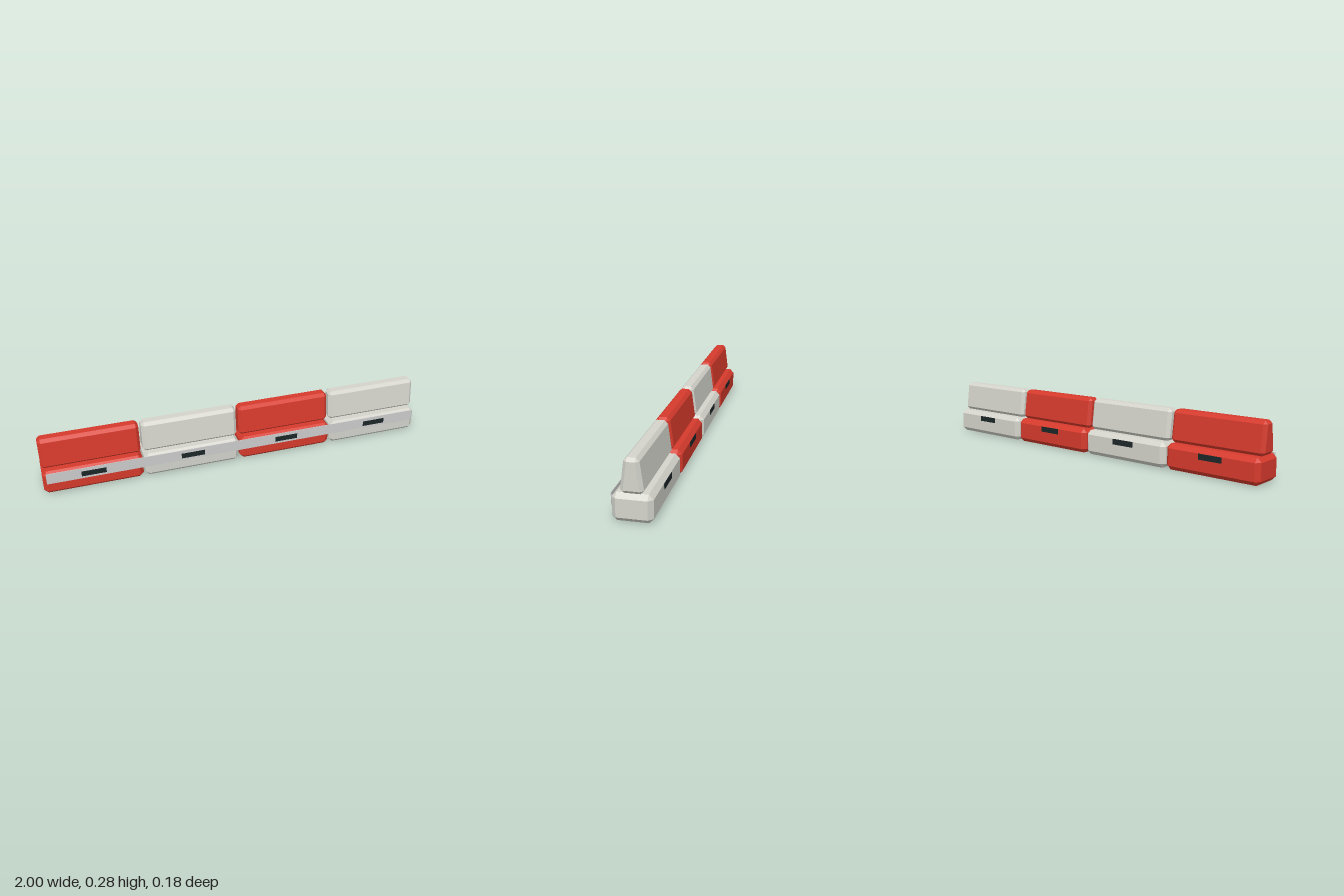
import * as THREE from 'three';
import { ConvexGeometry } from 'three/addons/geometries/ConvexGeometry.js';

const paint = (name, color) => new THREE.MeshStandardMaterial({ name, color });

// Block with all edges chamfered by c; depth may taper from hzLow to hzHigh.
function chamferedBlock(hx, y0, y1, hzLow, hzHigh, c) {
  const points = [];
  for (const [yEnd, ySide, hz] of [[y0, y0 + c, hzLow], [y1, y1 - c, hzHigh]]) {
    for (const sx of [-1, 1]) {
      for (const sz of [-1, 1]) {
        points.push(
          new THREE.Vector3(sx * (hx - c), yEnd, sz * (hz - c)),
          new THREE.Vector3(sx * (hx - c), ySide, sz * hz),
          new THREE.Vector3(sx * hx, ySide, sz * (hz - c))
        );
      }
    }
  }
  return new ConvexGeometry(points);
}

export function createModel() {
  const model = new THREE.Group();
  model.name = 'roadBarrier';
  const red = paint('barrierRed', 0xd63a2c);
  const white = paint('barrierWhite', 0xd4d4cc);
  const stripe = paint('stripeGrey', 0xcbcccb);
  const dark = paint('slotDark', 0x1c2628);

  const add = (parent, name, geometry, material, x = 0, y = 0, z = 0) => {
    const mesh = new THREE.Mesh(geometry, material);
    mesh.name = name;
    mesh.position.set(x, y, z);
    parent.add(mesh);
  };

  const base = chamferedBlock(0.247, 0, 0.126, 0.0885, 0.0885, 0.021);
  const wall = chamferedBlock(0.245, 0.126, 0.281, 0.05, 0.0335, 0.0152);
  const slot = new THREE.BoxGeometry(0.122, 0.028, 0.003);

  // Four alternating red and white segments
  for (let i = 0; i < 4; i++) {
    const segment = new THREE.Group();
    segment.name = 'segment' + (i + 1);
    segment.position.x = (i - 1.5) * 0.502;
    const colour = i % 2 ? white : red;
    add(segment, 'base', base, colour);
    add(segment, 'wall', wall, colour);
    add(segment, 'frontSlot', slot, dark, 0, 0.091, 0.0895);
    add(segment, 'backSlot', slot, dark, 0, 0.091, -0.0895);
    model.add(segment);
  }

  // Long stripe across the front of all segments
  add(model, 'frontStripe', new THREE.BoxGeometry(1.965, 0.058, 0.003), stripe, 0, 0.094, 0.0884);
  return model;
}
